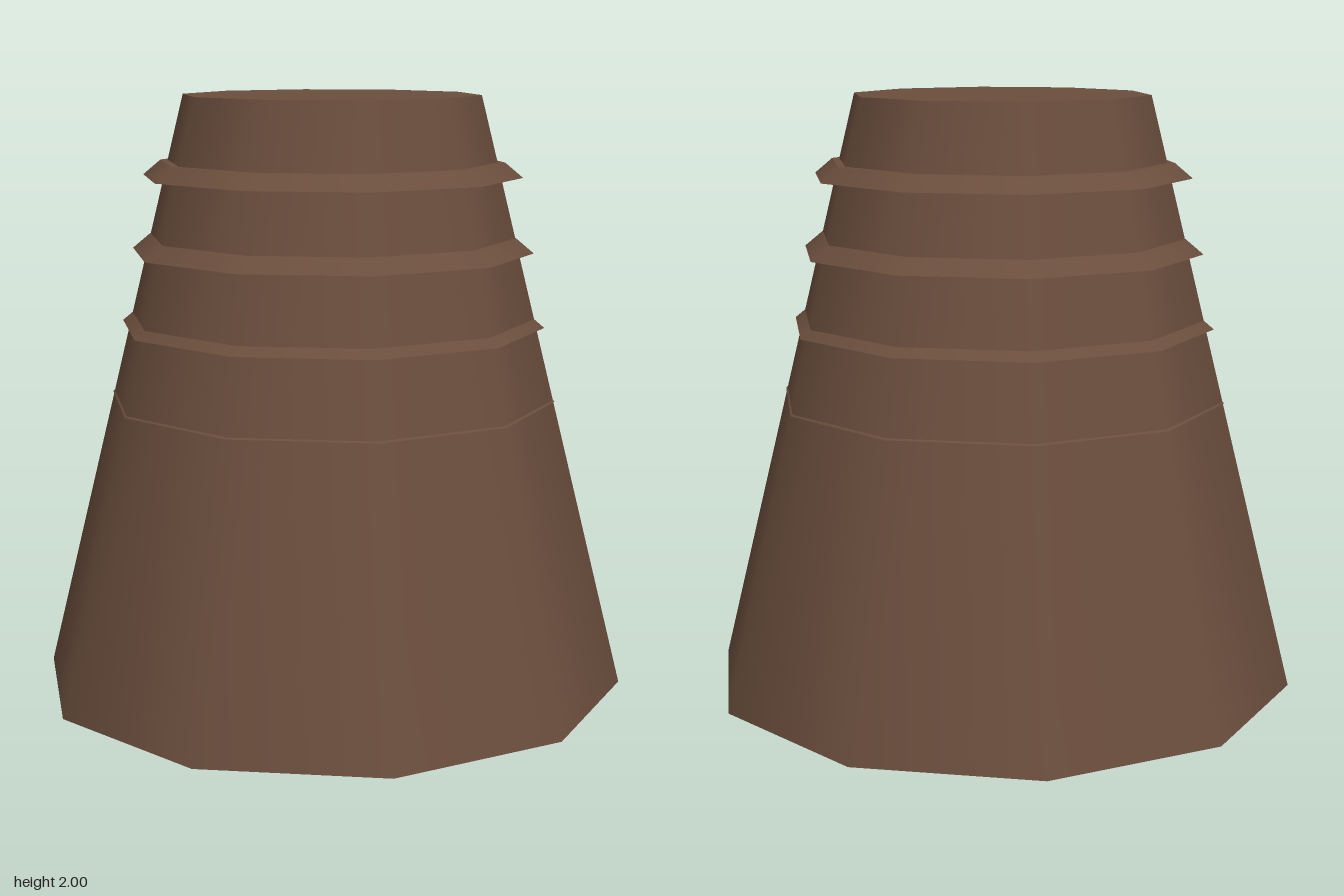
import * as THREE from 'three';

export function createModel() {
  const group = new THREE.Group();
  const material = new THREE.MeshStandardMaterial({ color: 0x6b4e3d });
  const sides = 10;

  // Capped, tapered ten-sided section with its base at the given height
  function addTaper(name, topRadius, bottomRadius, height, baseY) {
    const geometry = new THREE.CylinderGeometry(topRadius, bottomRadius, height, sides);
    const mesh = new THREE.Mesh(geometry, material);
    mesh.name = name;
    mesh.position.y = baseY + height / 2;
    group.add(mesh);
  }

  // Main tapered body
  addTaper('body', 0.5, 1, 2, 0);

  // Four flared rings, narrowing by equal steps; the lower ones sink into the body
  for (let i = 0; i < 4; i++) {
    const bottomRadius = 0.76 - 0.04 * i;
    addTaper(`ring${i + 1}`, bottomRadius - 0.06, bottomRadius, 0.05, 0.98 + 0.25 * i);
  }

  return group;
}
